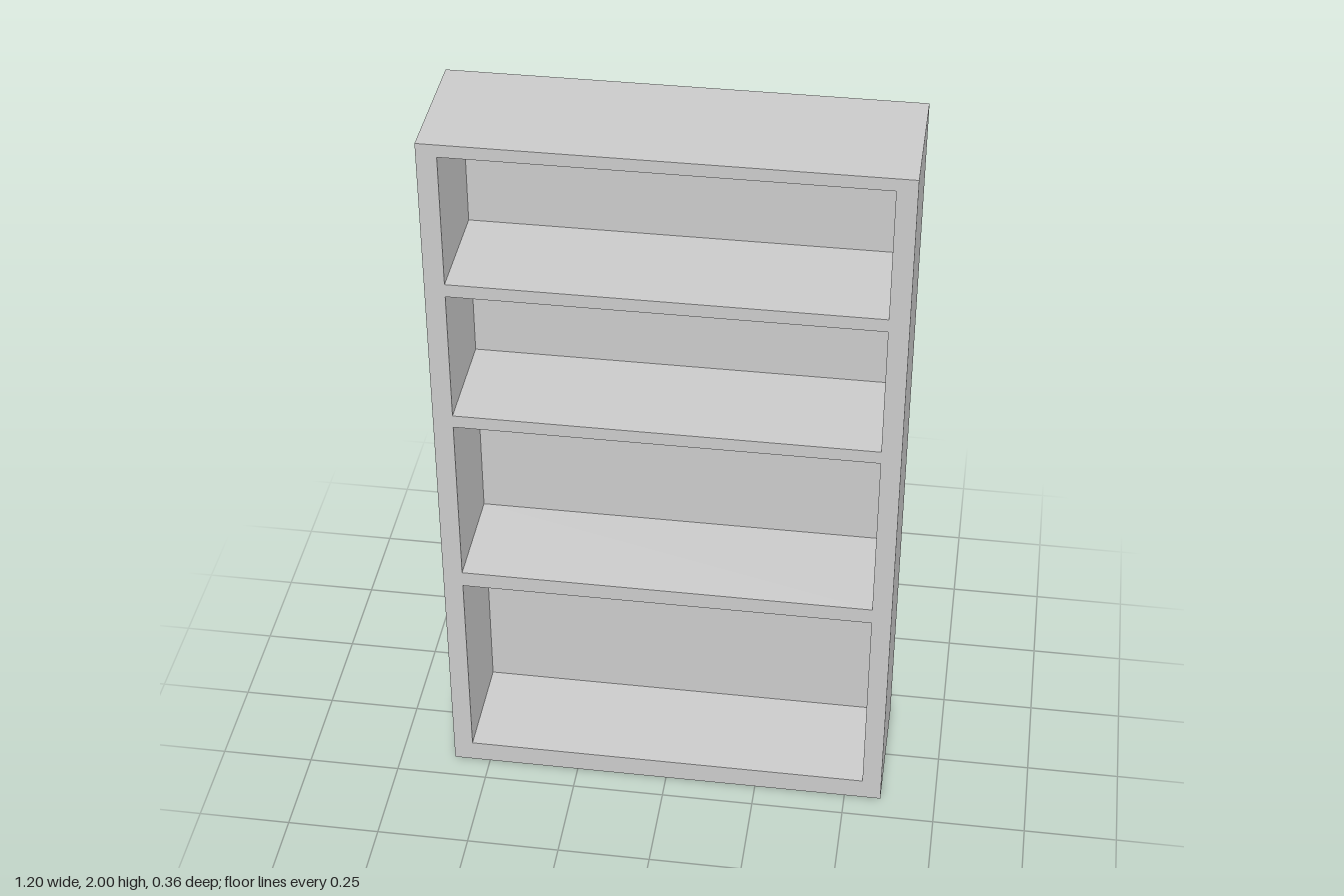
import * as THREE from 'three';

const WIDTH = 1.2, HEIGHT = 2, DEPTH = 0.36;
const BACK = 0.06; // back panel thickness
const INNER = 0.548; // half width of the openings
// Bottom and top of each compartment
const OPENINGS = [[0.06, 0.635], [0.68, 1.164], [1.2, 1.566], [1.602, 1.966]];

// Counter-clockwise rectangle outline
function rectangle(path, halfWidth, bottom, top) {
  path.moveTo(-halfWidth, bottom);
  path.lineTo(halfWidth, bottom);
  path.lineTo(halfWidth, top);
  path.lineTo(-halfWidth, top);
  path.closePath();
  return path;
}

export function createModel() {
  const group = new THREE.Group();
  group.name = 'bookcase';
  const material = new THREE.MeshStandardMaterial({ color: 0xcccccc });

  // Sides, top, base and shelves: one slab pierced by the compartments
  const outline = rectangle(new THREE.Shape(), WIDTH / 2, 0, HEIGHT);
  for (const [bottom, top] of OPENINGS) {
    outline.holes.push(rectangle(new THREE.Path(), INNER, bottom, top));
  }
  const carcass = new THREE.Mesh(
    new THREE.ExtrudeGeometry(outline, { depth: DEPTH - BACK, bevelEnabled: false }),
    material
  );
  carcass.name = 'frameAndShelves';
  carcass.position.z = -DEPTH / 2 + BACK;
  group.add(carcass);

  // Back panel closing the compartments
  const back = new THREE.Mesh(new THREE.BoxGeometry(WIDTH, HEIGHT, BACK), material);
  back.name = 'backPanel';
  back.position.set(0, HEIGHT / 2, -DEPTH / 2 + BACK / 2);
  group.add(back);

  return group;
}
